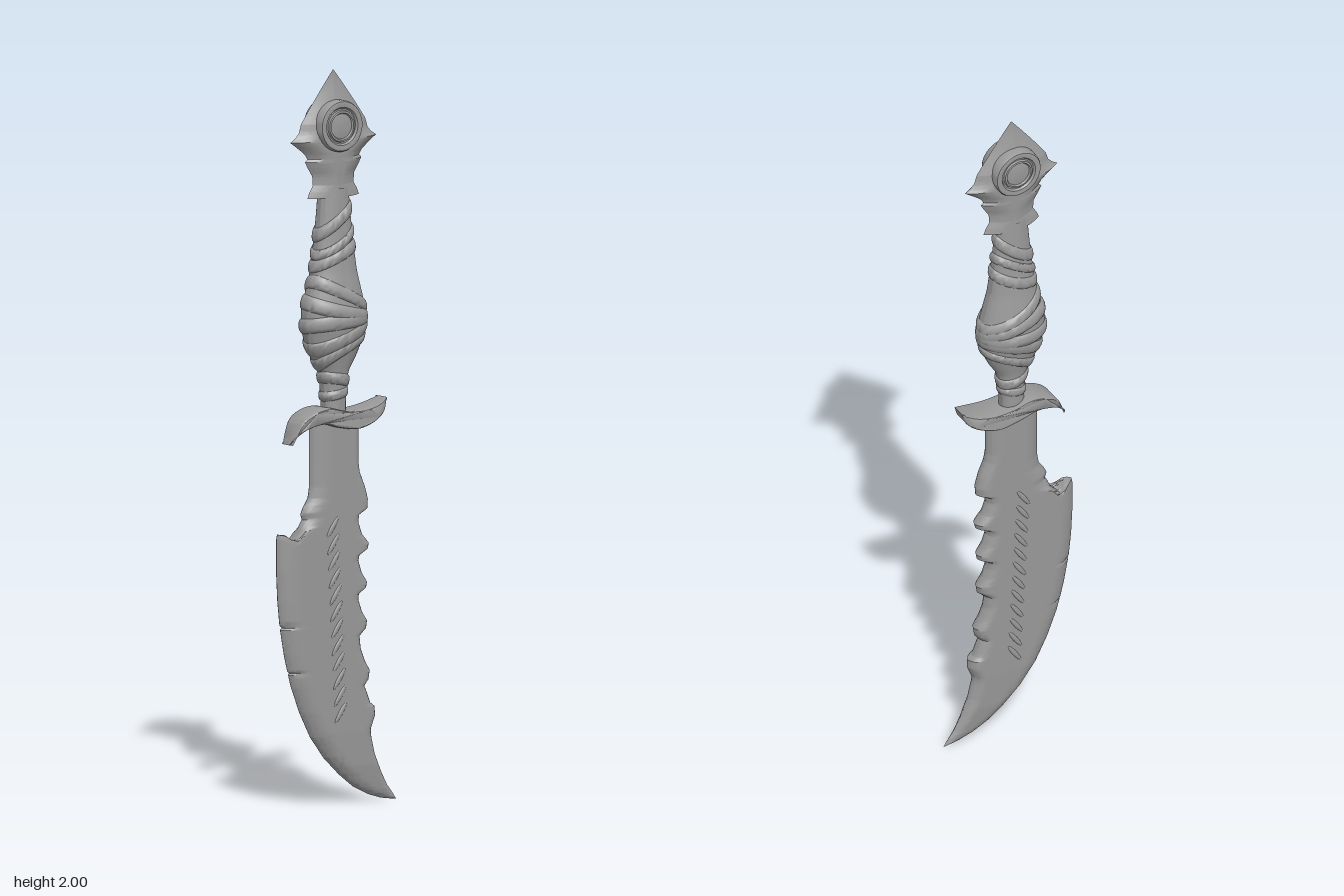
import * as THREE from 'three';
import { toCreasedNormals } from 'three/addons/utils/BufferGeometryUtils.js';

const CX = -0.01; // centre line of handle and pommel
const material = new THREE.MeshStandardMaterial({ color: 0x999999 });

function addMesh(parent, name, geometry, crease = 0.6) {
  const mesh = new THREE.Mesh(toCreasedNormals(geometry, crease), material);
  mesh.name = name;
  parent.add(mesh);
  return mesh;
}

// Move every vertex by a rule
function reshape(geometry, rule) {
  const p = geometry.attributes.position;
  for (let i = 0; i < p.count; i++) p.setXYZ(i, ...rule(p.getX(i), p.getY(i), p.getZ(i)));
  geometry.computeVertexNormals();
  return geometry;
}

// Surface from rings stacked upward; each ring is closed. point(row, angle) -> [x, y, z]
function skin(rows, cols, point) {
  const pos = [], index = [];
  for (let i = 0; i <= rows; i++)
    for (let j = 0; j < cols; j++) pos.push(...point(i, (j / cols) * Math.PI * 2));
  for (let i = 0; i < rows; i++)
    for (let j = 0; j < cols; j++) {
      const a = i * cols + j, b = i * cols + ((j + 1) % cols);
      index.push(a, a + cols, b, b, a + cols, b + cols);
    }
  const g = new THREE.BufferGeometry();
  g.setAttribute('position', new THREE.Float32BufferAttribute(pos, 3));
  g.setIndex(index);
  g.computeVertexNormals();
  return g;
}

// Linear lookup in a list of [y, value, ...] sorted by y
function lookup(table, y, k = 1) {
  let i = 1;
  while (i < table.length - 1 && table[i][0] < y) i++;
  const [a, b] = [table[i - 1], table[i]];
  const t = THREE.MathUtils.clamp((y - a[0]) / (b[0] - a[0]), 0, 1);
  return a[k] + (b[k] - a[k]) * t;
}

// Flat plate between two edge lines, ground thin toward each edge and closed at both ends
function plate(left, right, thickness, grindLeft, grindRight, power, rows) {
  const ys = [...new Set([...left, ...right].map((p) => p[0]))];
  const y0 = Math.min(...ys), y1 = Math.max(...ys);
  for (let i = 1; i < rows; i++) ys.push(y0 + ((y1 - y0) * i) / rows);
  ys.sort((a, b) => a - b);
  ys.unshift(y0);
  ys.push(y1);
  const last = ys.length - 1;
  return skin(last, 56, (i, phi) => {
    const y = ys[i], l = lookup(left, y), r = lookup(right, y);
    const x = (l + r) / 2 + ((r - l) / 2) * Math.cos(phi);
    const grind = (d, w) => {
      const t = THREE.MathUtils.clamp(d / w, 0, 1);
      return Math.pow(t * (2 - t), power);
    };
    const z = i === 0 || i === last ? 0
      : lookup(thickness, y) * Math.min(grind(x - l, grindLeft), grind(r - x, grindRight));
    return [x, y, Math.abs(Math.sin(phi)) < 1e-6 ? 0 : z * Math.sign(Math.sin(phi))];
  });
}

// Handle half-width and half-depth by height
const gripProfile = [
  [1.06, 0.036, 0.03], [1.1, 0.036, 0.03], [1.15, 0.04, 0.032], [1.18, 0.045, 0.035], [1.22, 0.07, 0.044],
  [1.26, 0.088, 0.054], [1.3, 0.098, 0.061], [1.35, 0.098, 0.061], [1.4, 0.085, 0.054], [1.45, 0.072, 0.046],
  [1.52, 0.062, 0.039], [1.6, 0.053, 0.034], [1.68, 0.046, 0.03],
];

// Wrapped strap: tilted ring hugging the handle
function strap(y0, tilt, twist, halfHeight, bulge) {
  return skin(12, 56, (i, a) => {
    const v = (i / 12) * Math.PI * 2;
    const mid = y0 + tilt * Math.cos(a) + twist * Math.sin(a);
    const out = bulge * Math.sin(v), y = mid - halfHeight * Math.cos(v);
    return [
      CX + (lookup(gripProfile, y, 1) + out) * Math.cos(a), y,
      (lookup(gripProfile, y, 2) + out) * Math.sin(a),
    ];
  });
}

export function createModel() {
  const model = new THREE.Group();
  model.name = 'dagger';

  // Blade: curved cutting edge with a hooked notch, and a scalloped back
  const cuttingEdge = [
    [0, 0.19], [0.006, 0.15], [0.02, 0.105], [0.045, 0.055], [0.08, 0.01], [0.13, -0.042], [0.19, -0.087],
    [0.26, -0.123], [0.335, -0.152], [0.365, -0.16], [0.37, -0.156], [0.375, -0.163], [0.42, -0.174],
    [0.49, -0.187], [0.495, -0.181], [0.503, -0.189], [0.57, -0.196], [0.65, -0.2], [0.735, -0.2],
    [0.75, -0.197], [0.755, -0.175], [0.758, -0.15], [0.765, -0.13], [0.785, -0.114], [0.8, -0.119],
    [0.815, -0.112], [0.84, -0.095], [0.87, -0.09], [1.06, -0.09],
  ];
  const teeth = [
    [0, 0.2], [0.012, 0.192], [0.04, 0.17], [0.08, 0.148], [0.13, 0.126], [0.185, 0.112], [0.2, 0.112],
    [0.235, 0.126], [0.26, 0.124], [0.27, 0.11], [0.3, 0.098], [0.318, 0.09], [0.335, 0.104], [0.36, 0.108],
    [0.385, 0.092], [0.42, 0.078], [0.455, 0.074], [0.475, 0.096], [0.495, 0.099], [0.52, 0.082], [0.555, 0.07],
    [0.57, 0.072], [0.585, 0.096], [0.6, 0.099], [0.625, 0.082], [0.66, 0.07], [0.675, 0.074], [0.69, 0.101],
    [0.705, 0.105], [0.73, 0.083], [0.765, 0.07], [0.785, 0.073], [0.8, 0.1], [0.825, 0.102], [0.86, 0.092],
    [0.9, 0.075], [0.93, 0.07], [1.06, 0.07],
  ];
  const bladeThickness = [[0, 0.005], [0.03, 0.013], [0.1, 0.023], [0.2, 0.028], [1.06, 0.028]];
  const blade = plate(cuttingEdge, teeth, bladeThickness, 0.055, 0.028, 0.75, 150);
  reshape(blade, (x, y, z) => {
    const dip = Math.exp(-(((x + 0.148) / 0.022) ** 2) - ((y - 0.755) / 0.05) ** 2);
    return [x, y - 0.03 * dip, z];
  });
  addMesh(model, 'blade', blade);

  // Row of slanted decorative ridges down both faces of the blade
  const ridges = new THREE.Group();
  ridges.name = 'bladeRidges';
  model.add(ridges);
  for (const s of [1, -1])
    for (let i = 0; i < 12; i++) {
      const ridge = addMesh(ridges, 'ridge', new THREE.SphereGeometry(1, 12, 8), 1.2);
      ridge.scale.set(0.007, 0.034, 0.004);
      ridge.rotation.z = -0.6;
      ridge.position.set(-0.032 + i * 0.0025, 0.76 - i * 0.046, s * 0.0275);
    }

  // Guard: S-shaped bar, narrowing toward its ends
  const spline = (points) => points.map((q) => new THREE.Vector2(...q));
  const outline = new THREE.Shape();
  outline.moveTo(-0.165, 0.992);
  outline.splineThru(spline([[-0.15, 1.012], [-0.12, 1.032], [-0.07, 1.043], [-0.015, 1.03], [0.045, 1.022],
    [0.1, 1.036], [0.14, 1.062], [0.154, 1.098]]));
  outline.splineThru(spline([[0.115, 1.082], [0.06, 1.072], [0, 1.075], [-0.045, 1.085], [-0.09, 1.079],
    [-0.135, 1.053], [-0.165, 0.992]]));
  const guard = new THREE.ExtrudeGeometry(outline, {
    depth: 0.07, bevelThickness: 0.009, bevelSize: 0.004, bevelOffset: -0.004, bevelSegments: 3, curveSegments: 40,
  });
  guard.translate(0, 0, -0.035);
  reshape(guard, (x, y, z) => [x, y, z * (1 - 0.6 * Math.min(1, Math.abs(x + 0.004) / 0.164) ** 5)]);
  addMesh(model, 'guard', guard);

  // Handle core
  addMesh(model, 'grip', skin(60, 56, (i, a) => {
    const y = 1.06 + (0.62 * i) / 60;
    return [CX + lookup(gripProfile, y, 1) * Math.cos(a), y, lookup(gripProfile, y, 2) * Math.sin(a)];
  }), 1);

  // Straps: [height, tilt across x, tilt across z, half height, bulge]
  const wraps = new THREE.Group();
  wraps.name = 'gripWraps';
  model.add(wraps);
  [
    [1.12, 0.006, 0, 0.013, 0.005], [1.158, -0.008, 0.004, 0.016, 0.006],
    [1.235, 0.036, 0.006, 0.016, 0.006], [1.275, 0.032, -0.006, 0.02, 0.006],
    [1.315, 0.006, 0.006, 0.02, 0.007], [1.35, -0.024, -0.006, 0.02, 0.007], [1.39, -0.04, 0.006, 0.018, 0.006],
    [1.495, 0.026, 0.006, 0.017, 0.006], [1.535, 0.034, -0.006, 0.014, 0.006], [1.59, 0.036, 0.006, 0.019, 0.006],
  ].forEach((w) => addMesh(wraps, 'strap', strap(...w), 1.2));

  // Pommel: pointed plate with side spikes, thinning toward the point
  const half = [
    [1.655, 0.086], [1.67, 0.08], [1.69, 0.068], [1.715, 0.07], [1.74, 0.086], [1.755, 0.094], [1.762, 0.086],
    [1.775, 0.094], [1.79, 0.112], [1.812, 0.143], [1.822, 0.127], [1.835, 0.115], [1.86, 0.107],
    [1.89, 0.086], [1.93, 0.056], [1.97, 0.025], [2, 0.001],
  ];
  const side = (s) => half.map(([y, w]) => [y, CX + s * w]);
  const pommelThickness = [[1.655, 0.026], [1.78, 0.029], [1.86, 0.024], [1.93, 0.013], [2, 0.002]];
  addMesh(model, 'pommel', plate(side(-1), side(1), pommelThickness, 0.075, 0.075, 1, 70));

  // Round medallion on both faces of the pommel
  const rim = [
    [0.07, 0], [0.07, 0.036], [0.067, 0.042], [0.06, 0.044], [0.052, 0.042], [0.048, 0.036],
    [0.044, 0.036], [0.042, 0.042], [0.037, 0.043], [0.034, 0.038], [0.02, 0.04], [0, 0.041],
  ].map((q) => new THREE.Vector2(...q));
  for (const s of [1, -1]) {
    const disc = new THREE.LatheGeometry(rim, 48);
    disc.rotateX((s * Math.PI) / 2);
    addMesh(model, 'pommelMedallion', disc).position.set(CX, 1.85, 0);
  }
  return model;
}
